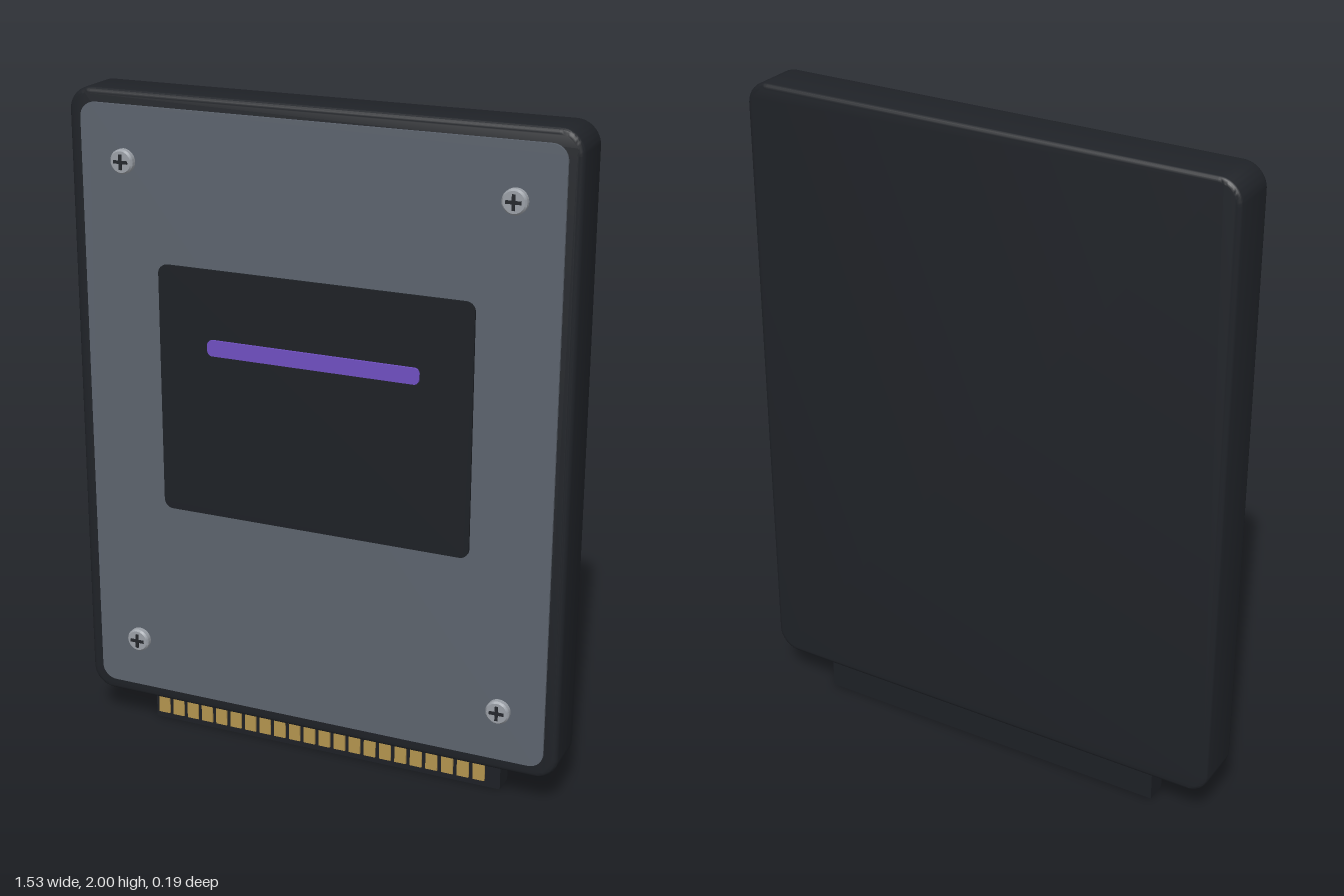
import * as THREE from 'three';
import { toCreasedNormals } from 'three/addons/utils/BufferGeometryUtils.js';

const material = (color) => new THREE.MeshStandardMaterial({ color });

// Rounded rectangle outline centred on the origin
function roundedRect(w, h, r) {
  const s = new THREE.Shape();
  const x = w / 2, y = h / 2;
  s.moveTo(-x + r, -y);
  s.lineTo(x - r, -y);
  s.absarc(x - r, -y + r, r, -Math.PI / 2, 0);
  s.lineTo(x, y - r);
  s.absarc(x - r, y - r, r, 0, Math.PI / 2);
  s.lineTo(-x + r, y);
  s.absarc(-x + r, y - r, r, Math.PI / 2, Math.PI);
  s.lineTo(-x, -y + r);
  s.absarc(-x + r, -y + r, r, Math.PI, Math.PI * 1.5);
  return s;
}

// Rounded slab from z0 to z1, with an optional rolled edge
function slab(name, w, h, r, y, z0, z1, mat, bevel = 0) {
  const geo = new THREE.ExtrudeGeometry(roundedRect(w - 2 * bevel, h - 2 * bevel, r - bevel), {
    depth: z1 - z0 - 2 * bevel,
    curveSegments: 8,
    bevelEnabled: bevel > 0,
    bevelSize: bevel,
    bevelThickness: bevel,
    bevelSegments: 4,
  });
  const mesh = new THREE.Mesh(toCreasedNormals(geo, 0.6), mat);
  mesh.name = name;
  mesh.position.set(0, y, z0 + bevel);
  return mesh;
}

function box(name, w, h, d, x, y, z, mat) {
  const mesh = new THREE.Mesh(new THREE.BoxGeometry(w, h, d), mat);
  mesh.name = name;
  mesh.position.set(x, y, z);
  return mesh;
}

export function createModel() {
  const model = new THREE.Group();
  model.name = 'cartridge';
  const shell = material(0x1f2227);
  const plate = material(0x5c636d);
  const dark = material(0x1d2025);
  const purple = material(0x6f4fc0);
  const steel = material(0x9a9fa6);
  const slot = material(0x24272c);
  const gold = material(0xb2934e);

  // Case, face plate, label and stripe, stacked toward the front
  model.add(
    slab('case', 1.526, 1.9, 0.07, 1.05, -0.095, 0.062, shell, 0.015),
    slab('facePlate', 1.444, 1.82, 0.045, 1.05, 0.055, 0.07, plate),
    slab('label', 0.964, 0.752, 0.028, 1.135, 0.065, 0.077, dark),
    slab('labelStripe', 0.652, 0.048, 0.016, 1.281, 0.07, 0.084, purple),
  );

  // Cross-head screws in the four corners
  const profile = [[0, 0.065], [0.036, 0.065], [0.036, 0.085], [0.031, 0.091], [0, 0.091]]
    .map(([r, z]) => new THREE.Vector2(r, z));
  const headGeo = toCreasedNormals(new THREE.LatheGeometry(profile, 24).rotateX(Math.PI / 2), 0.5);
  for (const x of [-0.585, 0.585]) {
    for (const y of [0.3, 1.8]) {
      const screw = new THREE.Group();
      screw.name = 'screw';
      screw.position.set(x, y, 0);
      const head = new THREE.Mesh(headGeo, steel);
      head.name = 'screwHead';
      screw.add(
        head,
        box('crossSlotHorizontal', 0.044, 0.009, 0.008, 0, 0, 0.091, slot),
        box('crossSlotVertical', 0.009, 0.044, 0.008, 0, 0, 0.091, slot),
      );
      model.add(screw);
    }
  }

  // Edge connector with its row of contacts
  model.add(box('connectorBoard', 1.146, 0.14, 0.068, 0, 0.07, -0.034, dark));
  for (let i = 0; i < 22; i++) {
    model.add(box('contact', 0.037, 0.085, 0.008, -0.543 + i * 0.05, 0.0625, 0.002, gold));
  }
  return model;
}
